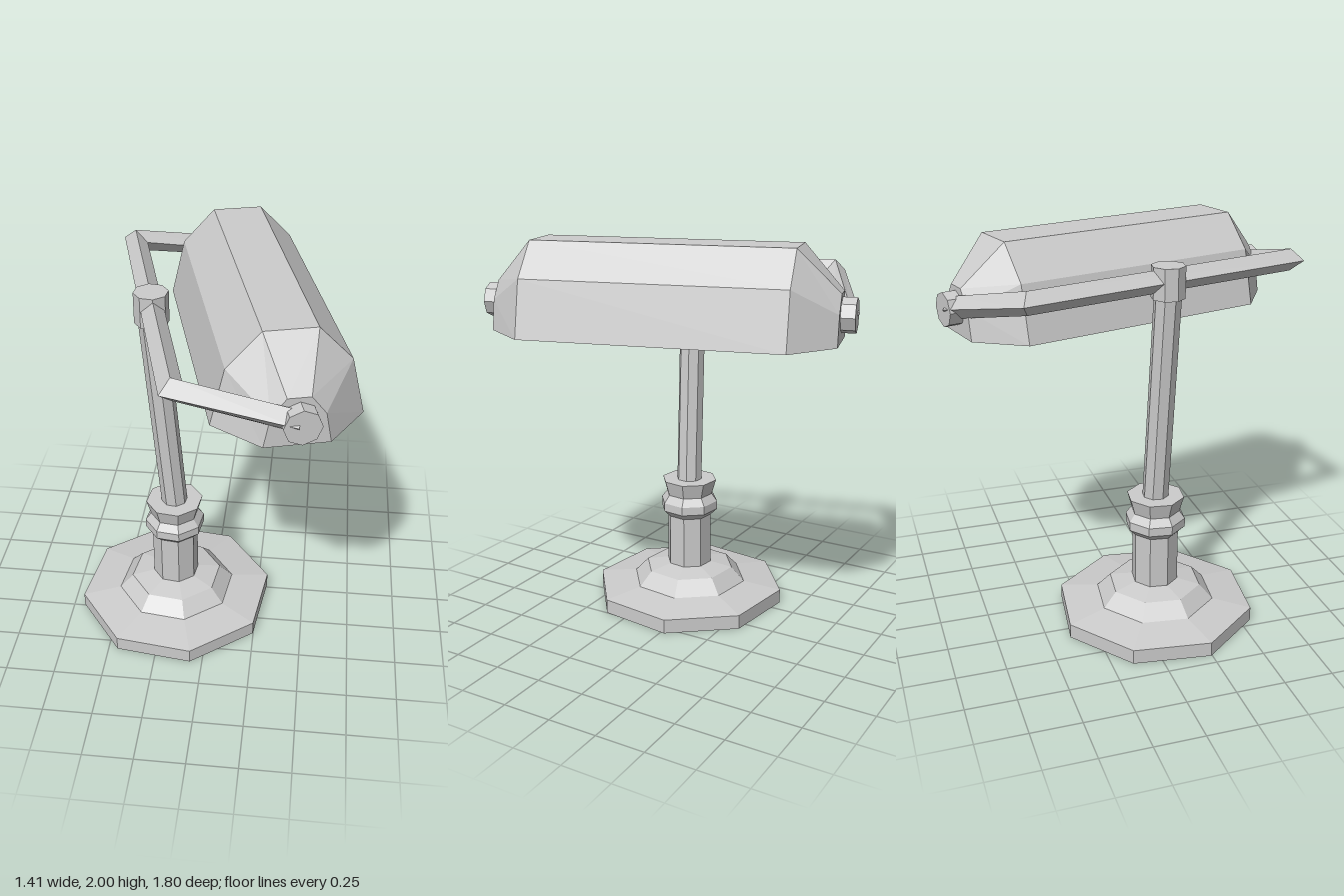
import * as THREE from 'three';

const flat = () => new THREE.MeshStandardMaterial({ color: 0xcccccc, flatShading: true, side: THREE.DoubleSide });

function part(name, geometry, parent) {
  const mesh = new THREE.Mesh(geometry, flat());
  mesh.name = name;
  parent.add(mesh);
  return mesh;
}

// Skin a list of equal-length rings of Vector3; "closed" joins the last point to the first.
function skin(rings, closed, capEnds) {
  const n = rings[0].length, index = [];
  const verts = rings.flat().flatMap((p) => [p.x, p.y, p.z]);
  for (let i = 0; i < rings.length - 1; i++) {
    for (let j = 0; j < (closed ? n : n - 1); j++) {
      const a = i * n + j, b = i * n + (j + 1) % n;
      index.push(a, b, b + n, a, b + n, a + n);
    }
  }
  if (capEnds) {
    const last = (rings.length - 1) * n;
    for (let j = 1; j < n - 1; j++) index.push(0, j + 1, j, last, last + j, last + j + 1);
  }
  const g = new THREE.BufferGeometry();
  g.setAttribute('position', new THREE.Float32BufferAttribute(verts, 3));
  g.setIndex(index);
  g.computeVertexNormals();
  return g;
}

// Eight-sided rod between two points.
function rod(name, a, b, radius, parent) {
  const dir = b.clone().sub(a);
  const mesh = part(name, new THREE.CylinderGeometry(radius, radius, dir.length(), 8), parent);
  mesh.position.copy(a).add(b).multiplyScalar(0.5);
  mesh.quaternion.setFromUnitVectors(new THREE.Vector3(0, 1, 0), dir.normalize());
  return mesh;
}

export function createModel() {
  const root = new THREE.Group();
  root.name = 'deskLamp';
  const lamp = new THREE.Group();
  lamp.name = 'lamp';
  lamp.rotation.y = THREE.MathUtils.degToRad(15);
  lamp.position.set(0.013, 0, -0.053 + 0.053);
  root.add(lamp);
  const V = (x, y, z) => new THREE.Vector3(x, y, z);
  const zc = 0.053; // middle of the lamp along the shade

  // Hollow stepped foot with its turned column, open underneath
  const profile = [
    [0.513, 0], [0.513, 0.075], [0.31, 0.105], [0.24, 0.18], [0.12, 0.203], [0.12, 0.48],
    [0.155, 0.515], [0.155, 0.56], [0.125, 0.6], [0.148, 0.68], [0, 0.68],
  ].map(([r, y]) => new THREE.Vector2(r, y));
  const base = part('baseAndColumn', new THREE.LatheGeometry(profile, 8), lamp);
  base.position.set(-0.231, 0, zc);

  // Leaning pole and the knob that carries the yoke
  rod('pole', V(-0.229, 0.66, zc), V(-0.313, 1.76, zc), 0.067, lamp);
  rod('poleKnob', V(-0.313, 1.735, zc), V(-0.313, 1.89, zc), 0.083, lamp);

  // Yoke: diamond-section bar with mitred corners
  const path = [
    V(0.2, 1.695, zc - 0.865), V(-0.313, 1.82, zc - 0.735),
    V(-0.313, 1.82, zc + 0.735), V(0.2, 1.695, zc + 0.865),
  ];
  const r = 0.055;
  const sideOf = (a, b) => V(b.z - a.z, 0, a.x - b.x).normalize();
  const yokeRings = path.map((p, i) => {
    const before = sideOf(path[Math.max(i - 1, 0)], path[Math.max(i, 1)]);
    const after = sideOf(path[Math.min(i, 2)], path[Math.min(i + 1, 3)]);
    const mitre = before.clone().add(after).normalize();
    mitre.multiplyScalar(r / mitre.dot(after));
    return [
      p.clone().add(mitre), p.clone().add(V(0, r, 0)),
      p.clone().sub(mitre), p.clone().sub(V(0, r, 0)),
    ];
  });
  part('yoke', skin(yokeRings, true, true), lamp);

  // Shade: five-sided trough, tapering to a small flat plate at each end
  const section = [[0.34, 0], [0.275, 0.275], [0.12, 0.438], [-0.12, 0.438], [-0.275, 0.275], [-0.34, 0]];
  const stations = [[-0.84, 0.43, 0.53], [-0.64, 1, 1], [0.64, 1, 1], [0.84, 0.43, 0.53]];
  const shadeRings = stations.map(([z, sx, sy]) =>
    section.map(([x, y]) => V(0.2 + x * sx, 1.562 + y * sy, zc + z)));
  part('shade', skin(shadeRings, false, true), lamp);

  // Pivot knobs through the shade ends
  for (const s of [-1, 1]) {
    rod(s > 0 ? 'frontPivot' : 'backPivot', V(0.205, 1.69, zc + s * 0.78), V(0.205, 1.69, zc + s * 0.908), 0.084, lamp);
  }
  return root;
}
